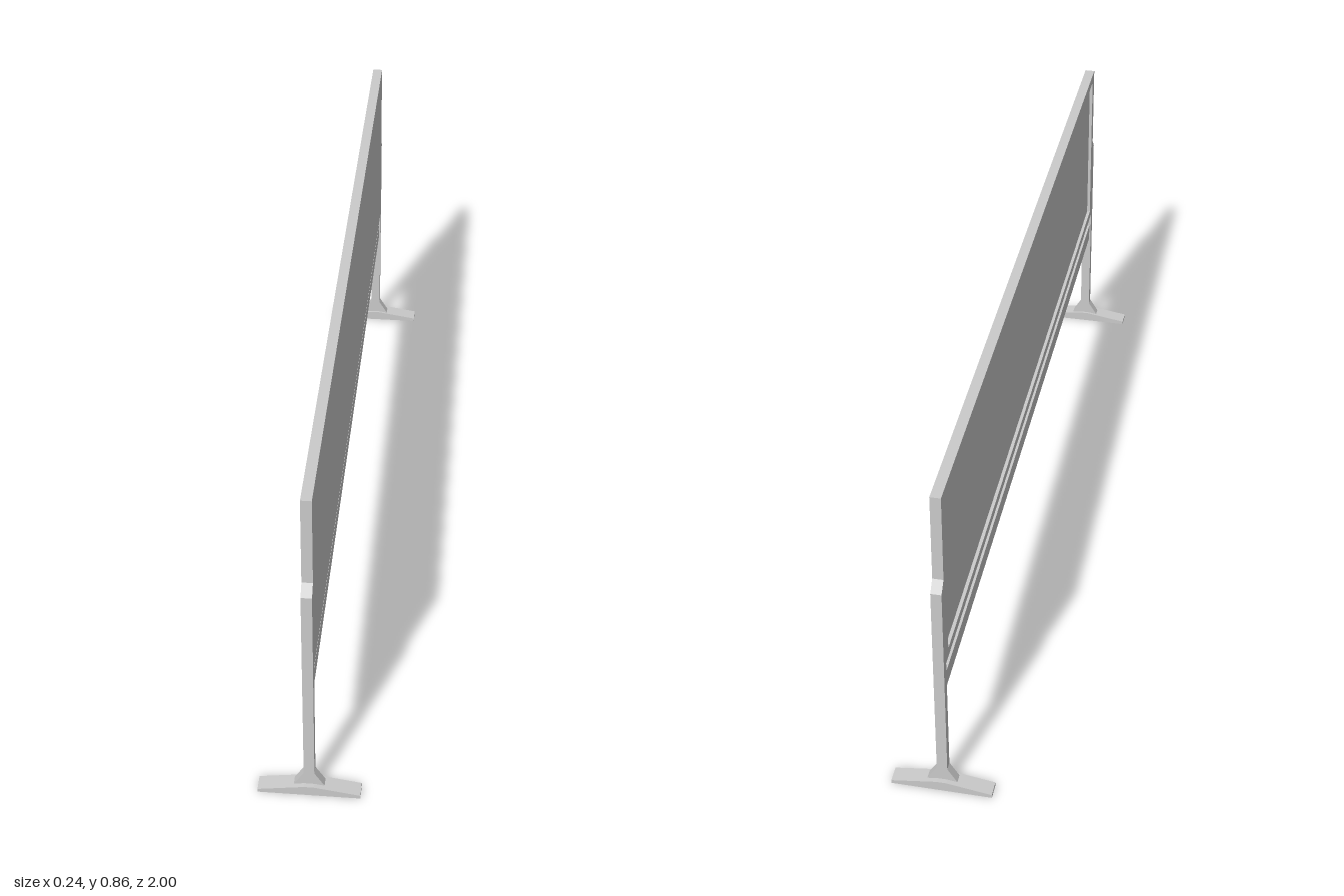
import * as THREE from 'three';

const material = new THREE.MeshStandardMaterial({ color: 0xcccccc, flatShading: true });

const T = 0.0125;      // half thickness of panel and posts
const Z_IN = 0.966;    // inner face of posts, end of panel
const Z_OUT = 0.988;   // outer face of posts
const Y_LOW = 0.38, Y_TOP = 0.857;

function polygon(points) {
  return new THREE.Shape(points.map(([x, y]) => new THREE.Vector2(x, y)));
}

// Extrudes an x/y profile along z, from z0 to z1.
function extrude(name, shape, z0, z1) {
  const geometry = new THREE.ExtrudeGeometry(shape, { depth: z1 - z0, bevelEnabled: false });
  geometry.translate(0, 0, z0);
  const mesh = new THREE.Mesh(geometry, material);
  mesh.name = name;
  return mesh;
}

// Extrudes a z/y profile along x, from x0 to x1.
function extrudeAcross(name, shape, x0, x1) {
  const geometry = new THREE.ExtrudeGeometry(shape, { depth: x1 - x0, bevelEnabled: false });
  geometry.rotateY(-Math.PI / 2);
  geometry.translate(x1, 0, 0);
  const mesh = new THREE.Mesh(geometry, material);
  mesh.name = name;
  return mesh;
}

function rectangle(z, y0, y1) {
  return polygon([[-z, y0], [z, y0], [z, y1], [-z, y1]]);
}

function createStand(name) {
  const stand = new THREE.Group();
  stand.name = name;

  // Low foot tapering towards both tips
  stand.add(extrude('foot', polygon([
    [-0.12, 0], [0.12, 0], [0.12, 0.009], [0.012, 0.026], [-0.012, 0.026], [-0.12, 0.009],
  ]), 0.96, 1));

  // Flared gusset at the base of the post
  stand.add(extrude('gusset', polygon([
    [-0.036, 0.018], [0.036, 0.018], [0.036, 0.022], [T, 0.06], [-T, 0.06], [-0.036, 0.022],
  ]), Z_IN, Z_OUT));

  // Upright with a top sloping up to the panel
  stand.add(extrudeAcross('post', polygon([
    [Z_IN, 0.02], [Z_OUT, 0.02], [Z_OUT, 0.604], [Z_IN, 0.629],
  ]), -T, T));
  return stand;
}

export function createModel() {
  const model = new THREE.Group();
  model.name = 'panelOnStands';

  const front = createStand('frontStand');
  const back = createStand('backStand');
  back.rotation.y = Math.PI;
  model.add(front, back);

  // Solid board on +x, raised border around a recess on -x
  const recessDepth = 0.008, border = 0.024;
  model.add(extrudeAcross('board', rectangle(Z_IN, Y_LOW, Y_TOP), -T + recessDepth, T));
  const frame = rectangle(Z_IN, Y_LOW, Y_TOP);
  frame.holes.push(rectangle(Z_IN - border, Y_LOW + border, Y_TOP - border));
  model.add(extrudeAcross('boardFrame', frame, -T, -T + recessDepth));

  // Thinner rail between the posts
  model.add(extrudeAcross('rail', rectangle(Z_IN, 0.295, 0.34), -0.0085, 0.0085));

  return model;
}
